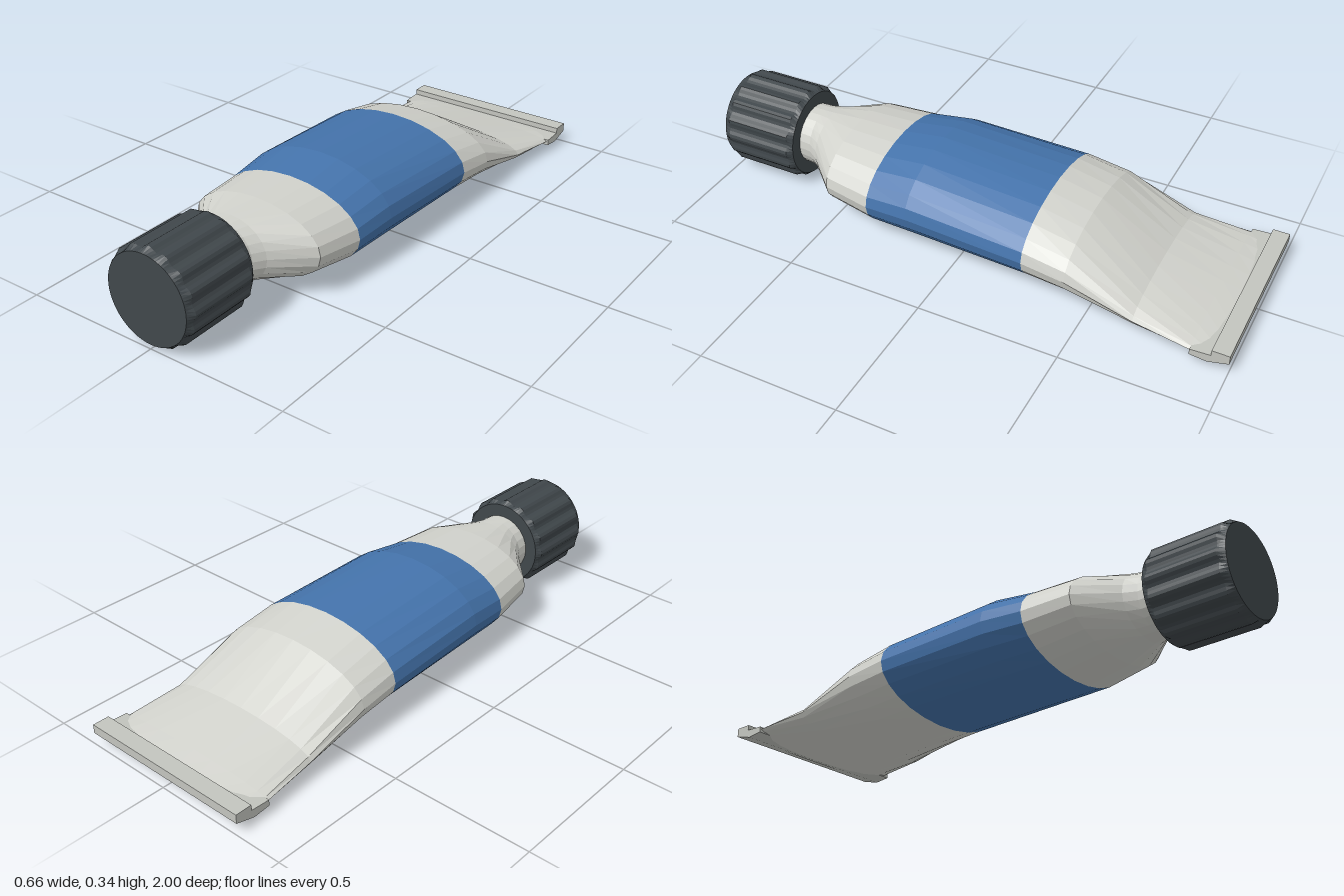
import * as THREE from 'three';

const paint = (name, color) => {
  const m = new THREE.MeshStandardMaterial({ color, flatShading: true });
  m.name = name;
  return m;
};

// Closed skin through rings ordered from front (+z) to back (-z)
function loft(rings) {
  const n = rings[0].length, pos = [], idx = [];
  rings.forEach(r => r.forEach(p => pos.push(...p)));
  for (let i = 0; i < rings.length - 1; i++) {
    for (let j = 0; j < n; j++) {
      const k = (j + 1) % n;
      const a = i * n + j, b = i * n + k, c = a + n, d = b + n;
      idx.push(a, c, b, b, c, d);
    }
  }
  const last = (rings.length - 1) * n;
  for (let j = 1; j < n - 1; j++) {
    idx.push(0, j, j + 1, last, last + j + 1, last + j);
  }
  const g = new THREE.BufferGeometry();
  g.setAttribute('position', new THREE.Float32BufferAttribute(pos, 3));
  g.setIndex(idx);
  g.computeVertexNormals();
  return g;
}

// Elliptical section from z, half width, bottom and top
function ellipse([z, w, y0, y1], sides = 24) {
  return Array.from({ length: sides }, (_, j) => {
    const t = j / sides * Math.PI * 2;
    return [w * Math.cos(t), (y0 + y1) / 2 + (y1 - y0) / 2 * Math.sin(t), z];
  });
}

export function createModel() {
  const group = new THREE.Group();
  const silver = paint('silver tube', 0xd0d1cb);
  const crimpGrey = paint('crimp grey', 0xc2c4be);
  const blue = paint('blue label', 0x4473ab);
  const dark = paint('dark cap', 0x40474b);
  const add = (name, geometry, material) => {
    const m = new THREE.Mesh(geometry, material);
    m.name = name;
    group.add(m);
  };

  // Neck and shoulder
  add('shoulder', loft([
    [0.72, 0.11, 0.065, 0.283],
    [0.66, 0.115, 0.062, 0.284],
    [0.62, 0.14, 0.058, 0.285],
    [0.50, 0.255, 0.03, 0.294],
    [0.325, 0.28, 0.005, 0.296],
  ].map(s => ellipse(s))), silver);

  // Blue band around the full middle of the tube
  add('labelBand', loft([
    [0.325, 0.28, 0.005, 0.296],
    [0.165, 0.291, 0.003, 0.32],
    [-0.275, 0.304, 0.003, 0.296],
  ].map(s => ellipse(s))), blue);

  // Tail, pressed flat towards the crimp
  add('flattenedTail', loft([
    [-0.275, 0.304, 0.003, 0.296],
    [-0.43, 0.308, 0.002, 0.262],
    [-0.67, 0.306, 0.003, 0.122],
    [-0.87, 0.324, 0.018, 0.073],
    [-0.95, 0.324, 0.03, 0.053],
  ].map(s => ellipse(s))), silver);

  // Folded crimp: stepped profile (z, y) swept across the width
  const profile = [[-0.87, 0.032], [-0.87, 0.053], [-0.94, 0.057],
    [-0.94, 0.077], [-1, 0.077], [-1, 0.045], [-0.93, 0.026]];
  const shape = new THREE.Shape(profile.map(([z, y]) => new THREE.Vector2(-z, y)));
  const crimp = new THREE.ExtrudeGeometry(shape, { depth: 0.66, bevelEnabled: false });
  crimp.translate(0, 0, -0.33).rotateY(Math.PI / 2);
  add('crimpedEnd', crimp, crimpGrey);

  // Fluted screw cap with softened rims
  const flutes = 16, sides = flutes * 6;
  const capRing = ([z, r, depth]) => Array.from({ length: sides }, (_, j) => {
    const t = j / sides * Math.PI * 2;
    const rr = r + depth * Math.cos(flutes * t);
    return [rr * Math.cos(t), 0.173 + rr * Math.sin(t), z];
  });
  add('screwCap', loft([
    [1, 0.156, 0],
    [0.975, 0.166, 0.006],
    [0.725, 0.166, 0.006],
    [0.705, 0.156, 0],
  ].map(capRing)), dark);

  return group;
}
